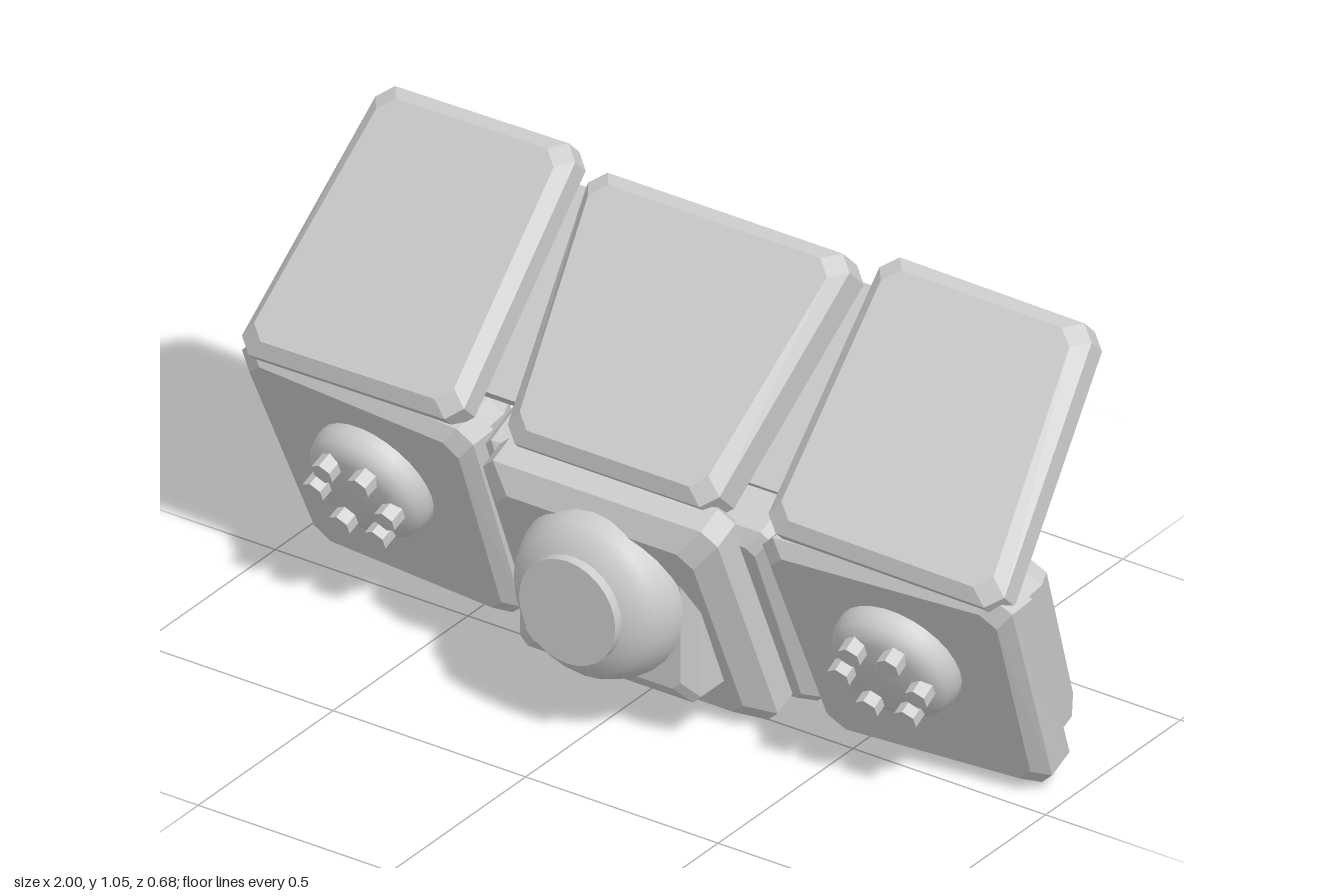
import * as THREE from 'three';
import { toCreasedNormals } from 'three/addons/utils/BufferGeometryUtils.js';

const grey = new THREE.MeshStandardMaterial({ color: 0xcccccc });
grey.name = 'plain grey';

function add(parent, name, geometry) {
  const mesh = new THREE.Mesh(geometry, grey);
  mesh.name = name;
  parent.add(mesh);
  return mesh;
}

// Trapezoid slab with cut corners, lofted front to back.
// bottom / top: [xMin, xMax, y]; levels: [inset, z, topDrop]; slant: z lost per unit of |x| - 0.38
function slab(bottom, top, levels, cut = 0.035, slant = 0) {
  const rings = levels.map(([i, z, drop = 0]) => {
    const [bl, br, yb] = [bottom[0] + i, bottom[1] - i, bottom[2] + i];
    const [tl, tr, yt] = [top[0] + i, top[1] - i, top[2] - i - drop];
    return [
      [bl, yb + cut], [bl + cut, yb], [br - cut, yb], [br, yb + cut],
      [tr, yt - cut], [tr - cut, yt], [tl + cut, yt], [tl, yt - cut],
    ].map(([x, y]) => [x, y, z - slant * (Math.abs(x) - 0.38)]);
  });
  const pos = [];
  const tri = (a, b, c) => pos.push(...a, ...b, ...c);
  const first = rings[0], last = rings[rings.length - 1];
  for (let k = 1; k < 7; k++) {
    tri(first[0], first[k], first[k + 1]);
    tri(last[0], last[k + 1], last[k]);
  }
  for (let r = 0; r + 1 < rings.length; r++) {
    for (let k = 0; k < 8; k++) {
      const n = (k + 1) % 8, f = rings[r], b = rings[r + 1];
      tri(b[k], b[n], f[n]);
      tri(b[k], f[n], f[k]);
    }
  }
  const g = new THREE.BufferGeometry();
  g.setAttribute('position', new THREE.Float32BufferAttribute(pos, 3));
  g.computeVertexNormals();
  return g;
}

// Mirror an x range to the given side, keeping min before max
const span = (side, inner, outer, y) => (side > 0 ? [inner, outer, y] : [-outer, -inner, y]);

// Turned part with its axis along +z; points are [radius, z]
function turned(points, segments = 28) {
  const g = new THREE.LatheGeometry(points.map(([r, z]) => new THREE.Vector2(r, z)), segments);
  return toCreasedNormals(g.rotateX(Math.PI / 2), 0.6);
}

// Prism across x from a [z, y] side profile
function prism(profile, width) {
  const shape = new THREE.Shape(profile.map(([z, y]) => new THREE.Vector2(-z, y)));
  const g = new THREE.ExtrudeGeometry(shape, { depth: width, bevelEnabled: false });
  return g.translate(0, 0, -width / 2).rotateY(Math.PI / 2);
}

export function createModel() {
  const model = new THREE.Group();
  model.name = 'panelUnit';

  // Lower row leans forward at the top, upper row leans back
  const lower = new THREE.Group();
  lower.name = 'lowerRow';
  lower.rotation.x = 0.394;
  const upper = new THREE.Group();
  upper.name = 'upperRow';
  upper.rotation.x = -Math.PI / 4;
  model.add(lower, upper);

  // Centre panels
  add(lower, 'lowerCentrePanel', slab([-0.315, 0.315, 0.005], [-0.305, 0.305, 0.615],
    [[0.05, 0.042], [0, 0], [0, -0.07], [0.03, -0.1]]));
  add(lower, 'centreBackBox', slab([-0.37, 0.37, 0], [-0.37, 0.37, 0.55],
    [[0.03, -0.06], [0, -0.09], [0, -0.28], [0.03, -0.31]], 0.02));
  add(upper, 'upperCentrePanel', slab([-0.275, 0.275, 0.285], [-0.34, 0.34, 0.905],
    [[0.03, 0.593], [0, 0.565], [0, 0.49], [0.03, 0.46]]));

  // Plate behind the upper row
  add(upper, 'upperBackPlate', slab([-0.82, 0.82, 0.39], [-0.76, 0.76, 0.88],
    [[0, 0.46], [0, 0.41], [0.035, 0.378]], 0.05));

  // Bracket between the back box and the upper plate
  add(model, 'rearBracket', prism([[0, 0.58], [-0.05, 0.4], [-0.165, 0.4], [-0.205, 0.71]], 0.5));

  // Lamp housing and lens, facing straight ahead
  add(model, 'lampHousing', slab([-0.235, 0.235, 0.11], [-0.235, 0.235, 0.46],
    [[0.035, 0.212], [0, 0.185], [0, -0.02]], 0.02));
  const lens = add(model, 'lens', turned([
    [0.2, 0.1], [0.207, 0.2], [0.202, 0.24], [0.185, 0.28], [0.165, 0.305],
    [0.125, 0.322], [0.125, 0.346], [0, 0.346],
  ]));
  lens.position.y = 0.335;

  for (const side of [1, -1]) {
    const label = side > 0 ? 'left' : 'right';

    // Side panels, swept back toward their outer ends; the lower one has a recessed back
    add(lower, label + 'LowerPanel', slab(
      span(side, 0.395, 0.96, -0.02), span(side, 0.375, 1, 0.59),
      [[0.03, -0.033], [0, -0.06], [0, -0.13, 0.025], [0.03, -0.145, 0.02],
        [0.03, -0.2, 0.035], [0.05, -0.245, 0.03], [0.07, -0.245, 0.03], [0.08, -0.215, 0.03]],
      0.035, 0.06));
    add(upper, label + 'UpperPanel', slab(
      span(side, 0.395, 0.99, 0.288), span(side, 0.395, 0.93, 0.94),
      [[0.03, 0.58], [0, 0.555], [0, 0.5], [0.025, 0.47]], 0.035, 0.06));

    // Round pod with a ring of hexagonal studs
    const pod = new THREE.Group();
    pod.name = label + 'Pod';
    pod.position.set(side * 0.68, 0.337, -0.05);
    pod.rotation.y = side * 0.06;
    lower.add(pod);
    add(pod, 'podDisc', turned([
      [0.15, -0.02], [0.15, 0.02], [0.142, 0.045], [0.125, 0.062], [0.1, 0.07], [0, 0.072],
    ]));
    for (let k = 0; k < 6; k++) {
      const a = k * Math.PI / 3;
      const stud = add(pod, 'stud', toCreasedNormals(
        new THREE.CylinderGeometry(0.028, 0.028, 0.05, 6).rotateX(Math.PI / 2), 0.3));
      stud.position.set(0.097 * Math.cos(a), 0.097 * Math.sin(a), 0.077);
    }

    // Rear post and arm
    const post = add(model, label + 'RearPost', turned([[0, -0.1], [0.06, -0.1], [0.06, 0.04]], 20));
    post.position.set(side * 0.77, 0.49, 0);
    const arm = add(model, label + 'RearArm',
      prism([[-0.08, 0.375], [-0.08, 0.25], [-0.195, 0.24], [-0.215, 0.34], [-0.205, 0.36]], 0.48));
    arm.position.x = side * 0.58;
    const foot = add(model, label + 'ArmFoot',
      prism([[-0.1, 0.26], [-0.15, 0.18], [-0.2, 0.19], [-0.2, 0.26]], 0.06));
    foot.position.x = side * 0.78;
  }
  return model;
}
